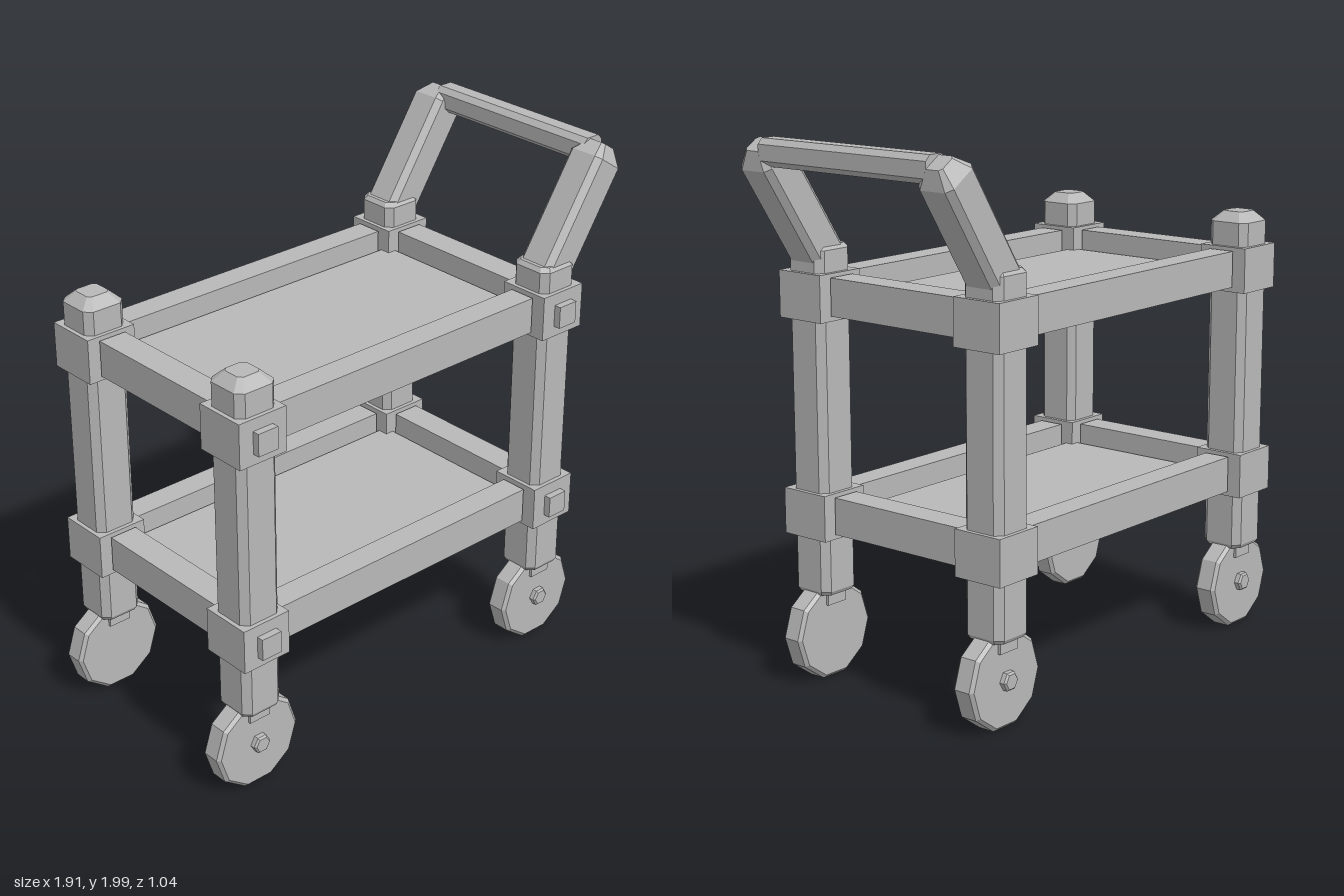
import * as THREE from 'three';

const grey = new THREE.MeshStandardMaterial({ color: 0xb8b8b8, flatShading: true });
grey.name = 'plain grey';

// Square outline with cut corners
const octagon = (h, c) => [
  [h, -h + c], [h, h - c], [h - c, h], [-h + c, h],
  [-h, h - c], [-h, -h + c], [-h + c, -h], [h - c, -h],
];
const polygon = (n, r) => Array.from({ length: n }, (_, i) => {
  const a = (i / n) * Math.PI * 2;
  return [Math.cos(a) * r, Math.sin(a) * r];
});

// Closed solid: an outline in x/z swept through [height, scale] levels
function loft(outline, levels) {
  const pos = [];
  const rings = levels.map(([y, s]) => outline.map(([x, z]) => [x * s, y, z * s]));
  const n = outline.length, last = rings.length - 1;
  for (let i = 0; i < n; i++) {
    const j = (i + 1) % n;
    for (let k = 0; k < last; k++) {
      const a = rings[k][i], b = rings[k][j], A = rings[k + 1][i], B = rings[k + 1][j];
      pos.push(...a, ...A, ...B, ...a, ...B, ...b);
    }
    pos.push(0, levels[0][0], 0, ...rings[0][i], ...rings[0][j]);
    pos.push(0, levels[last][0], 0, ...rings[last][j], ...rings[last][i]);
  }
  const g = new THREE.BufferGeometry();
  g.setAttribute('position', new THREE.Float32BufferAttribute(pos, 3));
  g.computeVertexNormals();
  return g;
}

export function createModel() {
  const cart = new THREE.Group();
  cart.name = 'servingCart';
  const add = (name, geo, x, y, z) => {
    const m = new THREE.Mesh(geo, grey);
    m.name = name;
    m.position.set(x, y, z);
    cart.add(m);
    return m;
  };
  const box = (name, w, h, d, x, y, z) => add(name, new THREE.BoxGeometry(w, h, d), x, y, z);

  const xs = [-0.775, 0.645], zs = [0.396, -0.419];
  const shelves = [0.63, 1.425];
  const midX = -0.065, midZ = -0.012;

  for (const x of xs) for (const z of zs) {
    // Posts: tapered caps at the plain end, nearly flat where the handle joins
    const top = x < 0 ? [[1.6, 1], [1.637, 0.54]] : [[1.59, 1], [1.606, 0.85]];
    add('post', loft(octagon(0.084, 0.026), [[0.33, 0.9], [0.345, 1], ...top]), x, 0, z);

    // Corner brackets, with square bolts on the front only
    for (const y of shelves) {
      box('bracket', 0.2, 0.17, 0.2, x, y, z);
      if (z > 0) box('bolt', 0.084, 0.084, 0.05, x, y - 0.002, z + 0.102);
    }

    // Castor: fork block, ten-sided wheel, hexagonal hub on the outer face
    box('fork', 0.09, 0.06, 0.11, x, 0.315, z);
    const wheel = add('wheel', loft(polygon(10, 0.183),
      [[-0.044, 0.93], [-0.032, 1], [0.032, 1], [0.044, 0.93]]), x, 0.18, z);
    wheel.rotation.x = Math.PI / 2;
    const side = Math.sign(z);
    const hub = add('hub', loft(polygon(6, 0.037),
      [[0, 1], [0.022, 1], [0.029, 0.8]]), x, 0.18, z + side * 0.04);
    hub.rotation.x = side * Math.PI / 2;
  }

  // Shelves: rails on short tenons around a recessed tray
  for (const y of shelves) {
    const ry = y + 0.004;
    for (const z of zs) {
      box('longRail', 1.2, 0.137, 0.103, midX, ry, z);
      box('longTenon', 1.3, 0.1, 0.07, midX, ry, z);
    }
    for (const x of xs) {
      box('shortRail', 0.11, 0.137, 0.6, x, ry, midZ);
      box('shortTenon', 0.07, 0.1, 0.7, x, ry, midZ);
    }
    box('tray', 1.29, 0.035, 0.688, midX, y - 0.022, midZ - 0.004);
  }

  // Handle: two sloping arms with tapered ends, joined by a crossbar
  const arm = loft(octagon(0.075, 0.022), [[-0.46, 1], [0, 1], [0.058, 0.5]]);
  for (const z of zs) {
    add('handleArm', arm, 0.889, 1.926, z).rotation.z = -Math.atan2(0.55, 0.835);
  }
  const bar = loft(octagon(0.048, 0.02), [[-0.38, 1], [0.38, 1]]);
  add('handleBar', bar, 0.904, 1.951, midZ).rotation.x = Math.PI / 2;

  return cart;
}
